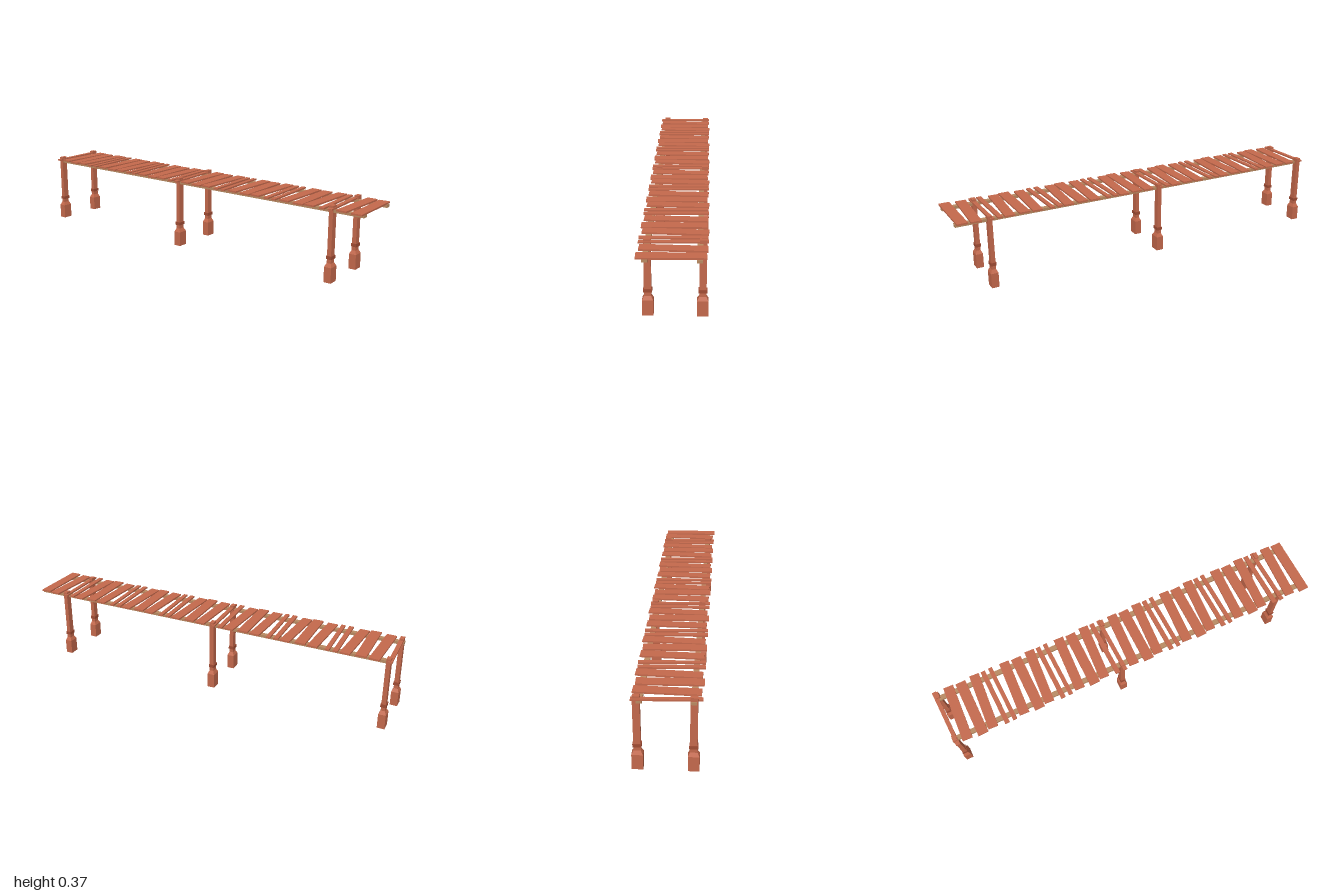
import * as THREE from 'three';

const paint = (color) => new THREE.MeshStandardMaterial({ color, flatShading: true });

function box(name, w, h, d, x, y, z, material) {
  const mesh = new THREE.Mesh(new THREE.BoxGeometry(w, h, d), material);
  mesh.name = name;
  mesh.position.set(x, y, z);
  return mesh;
}

// Box whose upper face shrinks to the given width and depth
function taper(name, w, h, d, topW, topD, y, material) {
  const mesh = box(name, w, h, d, 0, y, 0, material);
  const p = mesh.geometry.attributes.position;
  for (let i = 0; i < p.count; i++) {
    if (p.getY(i) > 0) {
      p.setX(i, Math.sign(p.getX(i)) * topW / 2);
      p.setZ(i, Math.sign(p.getZ(i)) * topD / 2);
    }
  }
  mesh.geometry.computeVertexNormals();
  return mesh;
}

export function createModel() {
  const wood = paint(0xc4694c);
  const darkWood = paint(0xa04c34);
  const paleWood = paint(0xb98a62);
  const model = new THREE.Group();
  model.name = 'boardwalk';

  // Posts: wide foot, sloped shoulder, slim shaft and a collar
  const postZ = [0.833, -0.074, -0.981];
  for (const z of postZ) {
    for (const x of [-0.115, 0.127]) {
      const post = new THREE.Group();
      post.name = 'post';
      post.position.set(x, 0, z);
      post.add(
        box('foot', 0.05, 0.075, 0.037, 0, 0.0375, 0, wood),
        taper('shoulder', 0.05, 0.018, 0.037, 0.032, 0.021, 0.084, wood),
        box('shaft', 0.032, 0.274, 0.021, 0, 0.23, 0, wood),
        box('collar', 0.039, 0.016, 0.028, 0, 0.12, 0, darkWood)
      );
      model.add(post);
    }
  }

  // Two long rails under the deck
  for (const side of [-1, 1]) {
    model.add(box('rail', 0.025, 0.014, 1.99, side * 0.1135, 0.342, 0, paleWood));
  }

  // Deck: five crooked planks repeated along the walk
  const pattern = [
    // z of the foremost copy, width, left end, right end, turn, copies
    { z: 0.967, width: 0.053, left: -0.153, right: 0.143, turn: 0.025, copies: 7 },
    { z: 0.895, width: 0.051, left: -0.145, right: 0.148, turn: -0.03, copies: 7 },
    { z: 0.831, width: 0.021, left: -0.153, right: 0.15, turn: 0.045, copies: 7 },
    { z: 0.79, width: 0.024, left: -0.153, right: 0.148, turn: 0.04, copies: 6 },
    { z: 0.731, width: 0.05, left: -0.144, right: 0.151, turn: -0.045, copies: 6 },
  ];
  const period = 0.3024;
  for (const { z, width, left, right, turn, copies } of pattern) {
    for (let i = 0; i < copies; i++) {
      const plank = box('plank', right - left, 0.008, width,
        (left + right) / 2, 0.353, z - i * period, wood);
      plank.rotation.y = turn;
      model.add(plank);
    }
  }
  return model;
}
